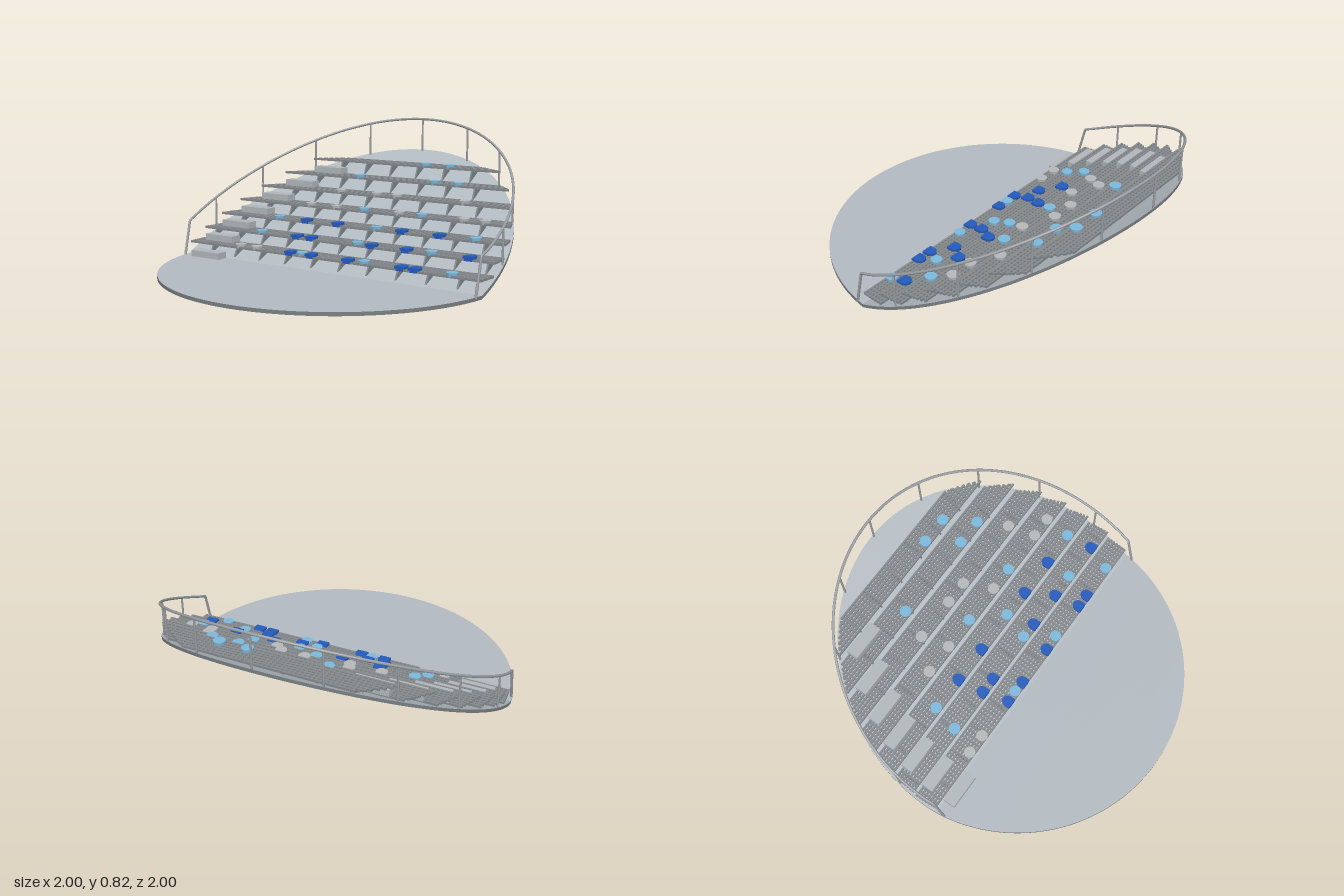
import * as THREE from 'three';
import { mergeGeometries } from 'three/addons/utils/BufferGeometryUtils.js';

const R = 0.998, FOLD = 0.13, THICK = 0.02;

// floor height in front of the fold, gently steepening rake behind it
const slopeY = (z) => {
  const s = Math.max(0, FOLD - z);
  return THICK + s * (0.446 + 0.075 * s);
};

// front edge of each tier, then the back of the last
const FRONTS = [0.125, -0.015, -0.158, -0.3, -0.441, -0.582, -0.724, -0.866];

// seats per tier: [x, colour key]
const SEATS = [
  [[-0.61, 'g'], [-0.49, 'g'], [-0.235, 'd'], [-0.16, 'l'], [-0.09, 'd'], [0.16, 'd'], [0.26, 'l'], [0.5, 'd'], [0.585, 'd'], [0.8, 'l']],
  [[-0.56, 'l'], [-0.29, 'd'], [-0.19, 'd'], [0.125, 'l'], [0.225, 'd'], [0.45, 'd'], [0.6, 'l'], [0.835, 'd']],
  [[-0.535, 'l'], [-0.325, 'd'], [-0.1, 'd'], [0.16, 'l'], [0.335, 'd'], [0.575, 'd'], [0.79, 'l']],
  [[-0.4, 'g'], [-0.215, 'g'], [-0.015, 'l'], [0.225, 'g'], [0.375, 'l'], [0.645, 'g'], [0.775, 'g']],
  [[-0.275, 'g'], [-0.015, 'g'], [0.125, 'g'], [0.575, 'g']],
  [[-0.225, 'l'], [0.3, 'l'], [0.46, 'l']],
  [[0.16, 'l'], [0.325, 'l']],
];

// step blocks: [centre x, centre z], the first on the floor
const STEPS = [[-0.805, 0.163], [-0.815, 0.022], [-0.803, -0.122], [-0.768, -0.267],
  [-0.712, -0.403], [-0.627, -0.547], [-0.503, -0.69]];

function material(name, color) {
  const m = new THREE.MeshStandardMaterial({ color });
  m.name = name;
  return m;
}

function box(x0, x1, y0, y1, z0, z1) {
  return new THREE.BoxGeometry(x1 - x0, y1 - y0, z1 - z0)
    .translate((x0 + x1) / 2, (y0 + y1) / 2, (z0 + z1) / 2);
}

// part of the disc between two angles (z = R sin angle), following the rake
function slab(a0, a1) {
  const g = new THREE.BoxGeometry(2, THICK, 1, 1, 1, 64);
  const p = g.attributes.position;
  for (let i = 0; i < p.count; i++) {
    const a = THREE.MathUtils.lerp(a0, a1, p.getZ(i) + 0.5);
    const z = R * Math.sin(a);
    p.setXYZ(i, p.getX(i) * R * Math.cos(a), slopeY(z) - THICK / 2 + p.getY(i), z);
  }
  g.computeVertexNormals();
  return g;
}

// open grating of long and cross bars clipped to the circle
function grating(front, back, y) {
  const r = 0.988, w = 0.0055, h = 0.013, rows = 6, parts = [];
  for (let i = 0; i <= rows; i++) {
    const z = front - w - ((front - back - 2 * w) * i) / rows;
    const x = Math.sqrt(r * r - (Math.abs(z) + w) ** 2);
    parts.push(box(-x, x, y - h, y, z - w, z + w));
  }
  for (let i = -39; i <= 39; i++) {
    const x = i * 0.025;
    const chord = Math.sqrt(r * r - (Math.abs(x) + w) ** 2);
    const z1 = Math.min(front, chord), z0 = Math.max(back, -chord);
    if (z1 - z0 > 0.01) parts.push(box(x - w, x + w, y - h + 0.001, y - 0.001, z0, z1));
  }
  return mergeGeometries(parts);
}

// thin triangular plates between the slope and a tier
function brackets(front, back, y, offset) {
  const top = y - 0.012, parts = [];
  const shape = new THREE.Shape([
    new THREE.Vector2(-(front - 0.012), slopeY(front - 0.012) - 0.004),
    new THREE.Vector2(-back, slopeY(back) - 0.004),
    new THREE.Vector2(-back, top),
    new THREE.Vector2(-(front - 0.045), top),
  ]);
  const limit = Math.sqrt(0.97 - back * back);
  for (let x = -1 + offset; x < 1; x += 0.186) {
    if (Math.abs(x) > limit) continue;
    const g = new THREE.ExtrudeGeometry(shape, { depth: 0.01, bevelEnabled: false });
    parts.push(g.rotateY(Math.PI / 2).translate(x - 0.005, 0, 0));
  }
  return mergeGeometries(parts);
}

export function createModel() {
  const root = new THREE.Group();
  root.name = 'grandstand';
  const mats = {
    deck: material('pale grey deck', 0xb1b9c0),
    rim: material('dark grey rim', 0x787e82),
    grate: material('grating grey', 0x85898c),
    bracket: material('bracket grey', 0x7e868d),
    step: material('step grey', 0xb0b6ba),
    rail: material('rail grey', 0x969b9f),
    g: material('grey seat', 0xb5b7b9),
    l: material('light blue seat', 0x7cb8dc),
    d: material('dark blue seat', 0x235abb),
  };
  const add = (name, geometry, mat, parent = root) => {
    const mesh = new THREE.Mesh(geometry, mat);
    mesh.name = name;
    parent.add(mesh);
    return mesh;
  };

  // flat floor and raked slab, with darker rims
  const fold = Math.asin(FOLD / R);
  const slabMats = [mats.rim, mats.rim, mats.deck, mats.deck, mats.rim, mats.rim];
  add('floor', slab(fold, Math.PI / 2), slabMats);
  add('slope', slab(-Math.PI / 2, fold), slabMats);

  // tiers with brackets and seats
  const padGeo = new THREE.CylinderGeometry(0.033, 0.03, 0.026, 32);
  const frontGeo = mergeGeometries([
    box(-0.033, 0.033, -0.001, 0.013, 0, 0.032),
    box(-0.023, 0.023, -0.013, -0.001, 0, 0.032),
  ]);
  const heights = FRONTS.slice(1).map((z) => slopeY(z + 0.006) + 0.015);
  heights.forEach((y, i) => {
    const tier = new THREE.Group();
    tier.name = `tier${i + 1}`;
    root.add(tier);
    const front = FRONTS[i], back = FRONTS[i + 1] + 0.006;
    add('grating', grating(front, back, y), mats.grate, tier);
    add('brackets', brackets(front, back, y, i % 2 ? 0.07 : 0.163), mats.bracket, tier);
    for (const [x, key] of SEATS[i]) {
      const seat = new THREE.Group();
      seat.name = 'seat';
      seat.position.set(x, y, front - 0.03);
      add('seatPad', padGeo, mats[key], seat);
      if (key === 'd') add('seatFront', frontGeo, mats[key], seat);
      tier.add(seat);
    }
  });

  // step blocks up the stair line
  STEPS.forEach(([x, z], i) => {
    const y = i ? heights[i - 1] : THICK;
    add('stepBlock', box(x - 0.104, x + 0.104, y, y + 0.038, z - 0.037, z + 0.037), mats.step);
  });

  // curved handrail, with sloping front ends
  const r = 0.99;
  const railPoint = (t) => {
    const z = -r * Math.cos(t);
    return new THREE.Vector3(r * Math.sin(t), slopeY(z) + 0.2, z);
  };
  const end = Math.PI / 2 + Math.asin(FOLD / r);
  const foot = (s) => new THREE.Vector3(s * 0.979, 0.012, 0.18);
  const pts = [foot(-1), foot(-1).lerp(railPoint(-end), 0.95)];
  for (let i = 0; i <= 60; i++) pts.push(railPoint(-end + (2 * end * i) / 60));
  pts.push(foot(1).lerp(railPoint(end), 0.95), foot(1));
  add('handrail', new THREE.TubeGeometry(new THREE.CatmullRomCurve3(pts), 240, 0.0075, 16), mats.rail);

  // rail posts, evenly spaced round the back
  for (let i = -4; i <= 4; i++) {
    const top = railPoint(THREE.MathUtils.degToRad(i * 20.8));
    const post = add('railPost', new THREE.CylinderGeometry(0.006, 0.006, 0.21, 20), mats.rail);
    post.position.set(top.x, top.y - 0.105, top.z);
  }
  return root;
}
